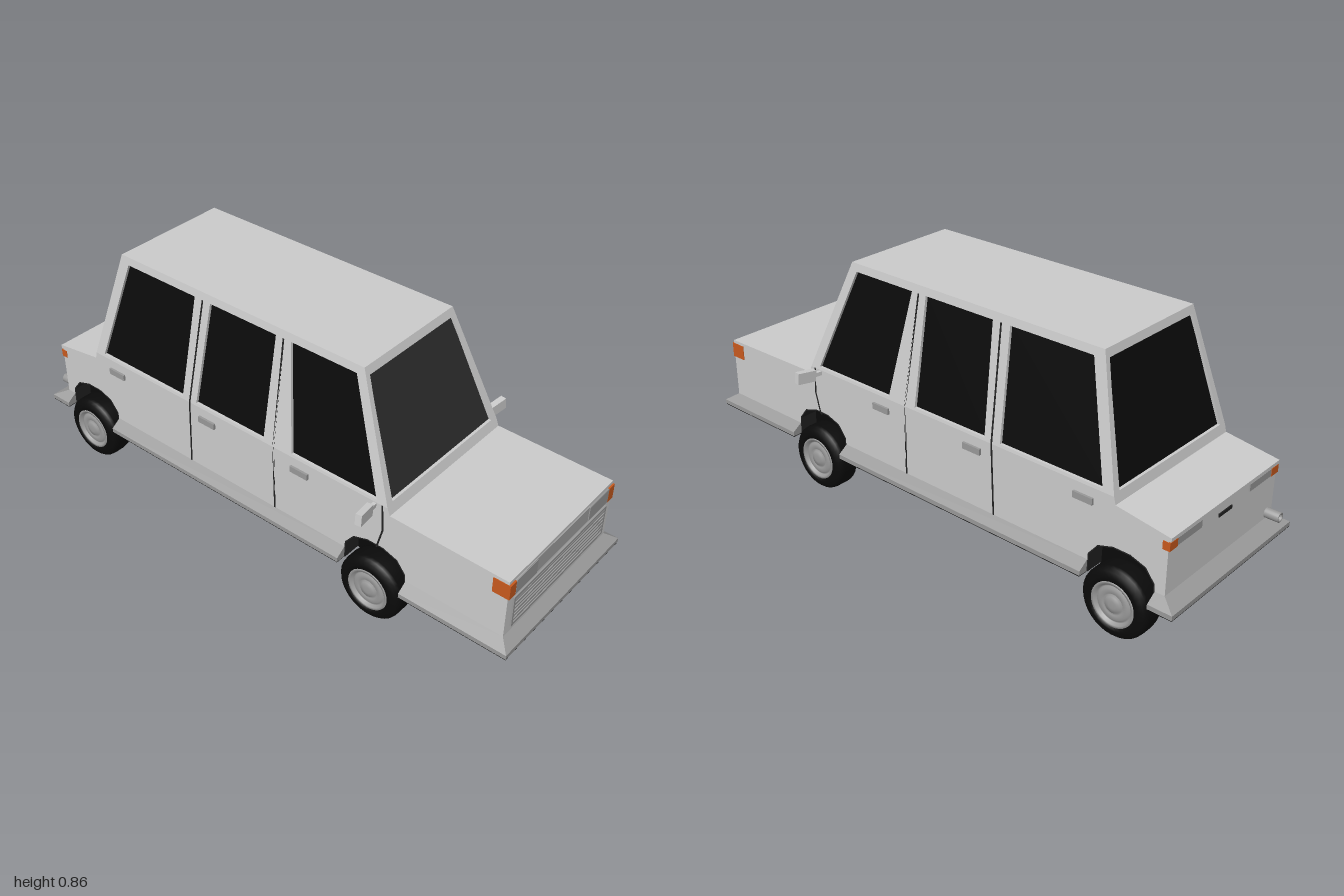
import * as THREE from 'three';

const mat = (color, side = THREE.FrontSide) => new THREE.MeshStandardMaterial({ color, side });
const paint = mat(0xcccccc), trim = mat(0x999999), grey = mat(0x777777), black = mat(0x0a0a0a);
const dark = mat(0x222222), screenGlass = mat(0x2c2c2c), orange = mat(0xc85a1e);

function add(parent, name, geometry, material, x = 0, y = 0, z = 0) {
  const mesh = new THREE.Mesh(geometry, material);
  mesh.name = name;
  mesh.position.set(x, y, z);
  parent.add(mesh);
  return mesh;
}

// Box given by its limits
function block(parent, name, material, x0, x1, y0, y1, z0, z1) {
  return add(parent, name, new THREE.BoxGeometry(x1 - x0, y1 - y0, z1 - z0), material,
    (x0 + x1) / 2, (y0 + y1) / 2, (z0 + z1) / 2);
}

// Tapered box between two rectangles [x0, x1, z0, z1]
function frustum(parent, name, material, y0, bottom, y1, top) {
  const g = new THREE.BoxGeometry(1, 1, 1), p = g.attributes.position;
  for (let i = 0; i < p.count; i++) {
    const r = p.getY(i) > 0 ? top : bottom;
    p.setXYZ(i, r[p.getX(i) > 0 ? 1 : 0], p.getY(i) > 0 ? y1 : y0, r[p.getZ(i) > 0 ? 3 : 2]);
  }
  g.computeVertexNormals();
  return add(parent, name, g, material);
}

const poly = (pts) => new THREE.Shape(pts.map(([u, v]) => new THREE.Vector2(u, v)));

function extrude(pts, holes, depth) {
  const s = poly(pts);
  holes.forEach((h) => s.holes.push(poly(h)));
  return new THREE.ExtrudeGeometry(s, { depth, bevelEnabled: false });
}

function lean(g, rule) {
  const p = g.attributes.position;
  for (let i = 0; i < p.count; i++) rule(p, i, p.getY(i));
  g.computeVertexNormals();
  return g;
}

// Cabin planes as functions of height
const BELT = 0.455, EAVE = 0.835, ROOF = 0.855, W = 0.292;
const sideX = (y) => W - Math.max(0, y - BELT) * 0.18;
const frontZ = (y) => 0.54 - (y - 0.43) * 0.39;
const rearZ = (y) => -0.765 + (y - 0.43) * 0.266;

// Panels drawn in (z, y) or (x, y), then leaned onto the cabin planes
const sidePanel = (pts, holes, depth, inset = 0) => lean(
  extrude(pts, holes, depth).rotateY(-Math.PI / 2),
  (p, i, y) => p.setX(i, p.getX(i) + sideX(y) - inset));
const frontPanel = (pts, holes, depth, inset = 0) => lean(
  extrude(pts, holes, depth),
  (p, i, y) => p.setZ(i, p.getZ(i) - depth + frontZ(y) - inset));
const rearPanel = (pts, holes, depth, inset = 0) => lean(
  extrude(pts, holes, depth).rotateY(Math.PI),
  (p, i, y) => p.setZ(i, p.getZ(i) + depth + rearZ(y) + inset));

const AXLES = [0.49, -0.795];
const archPoints = (cz, k = 1) => [[0.12, 0.165], [0.118, 0.23], [0.085, 0.272], [0.03, 0.29],
  [-0.03, 0.29], [-0.085, 0.272], [-0.118, 0.23], [-0.12, 0.165]]
  .map(([z, y]) => [cz + z * k, 0.165 + (y - 0.165) * k]);

function makeWheel() {
  const wheel = new THREE.Group();
  wheel.name = 'wheel';
  const spin = (pts) => new THREE.LatheGeometry(
    pts.map(([r, h]) => new THREE.Vector2(r, h)), 32).rotateZ(-Math.PI / 2);
  add(wheel, 'tyre', spin([[0, -0.045], [0.09, -0.045], [0.108, -0.041], [0.116, -0.032], [0.118, -0.02],
    [0.118, 0.02], [0.116, 0.032], [0.108, 0.041], [0.09, 0.045], [0.076, 0.044], [0.07, 0.03], [0, 0.03]]), black);
  add(wheel, 'rim', spin([[0.077, 0.04], [0.076, 0.046], [0.068, 0.046], [0.063, 0.036], [0.058, 0.036],
    [0.052, 0.042], [0.036, 0.042], [0.031, 0.036], [0.027, 0.045], [0.012, 0.047], [0, 0.047]]), trim);
  return wheel;
}

// Everything that appears on both flanks, built for +x
function makeSide() {
  const side = new THREE.Group();
  side.name = 'side';
  const windows = [
    [[0.487, 0.465], [0.15, 0.465], [0.096, 0.828], [0.35, 0.828]],
    [[0.032, 0.465], [-0.267, 0.465], [-0.242, 0.828], [0.036, 0.828]],
    [[-0.33, 0.465], [-0.716, 0.465], [-0.618, 0.828], [-0.31, 0.828]],
  ];
  const outline = [[frontZ(BELT), BELT], [frontZ(EAVE), EAVE], [rearZ(EAVE), EAVE], [rearZ(BELT), BELT]];
  add(side, 'windowFrame', sidePanel(outline, windows, 0.018), paint);
  windows.forEach((w) => add(side, 'sideWindow', sidePanel(w, [], 0.004, 0.01), black));

  // Door gaps
  const gaps = [
    [[0.073, 0.2], [0.072, BELT], [0.064, 0.828]],
    [[-0.31, 0.2], [-0.3, BELT], [-0.278, 0.828]],
    [[0.492, 0.28], [0.513, 0.36], [0.508, BELT]],
  ];
  for (const g of gaps) {
    const edge = g.map(([z, y]) => [z + 0.006, y]).reverse();
    add(side, 'doorGap', sidePanel([...g, ...edge], [], 0.004, -0.001), dark);
  }
  for (const z of [0.185, -0.218, -0.652]) block(side, 'doorHandle', trim, W - 0.01, 0.3, 0.4, 0.422, z - 0.036, z + 0.036);

  // Wheels and arch liners
  for (const cz of AXLES) {
    const ring = [...archPoints(cz), ...archPoints(cz, 0.97).reverse()];
    add(side, 'archLiner', extrude(ring, [], 0.075).rotateY(-Math.PI / 2), dark, W + 0.001);
    const wheel = makeWheel();
    wheel.position.set(0.28, 0.118, cz);
    side.add(wheel);
  }

  // Door mirror
  const stalk = add(side, 'mirrorStalk', new THREE.BoxGeometry(0.05, 0.014, 0.012), paint, 0.31, 0.445, 0.485);
  stalk.rotation.y = -0.15;
  const mirror = add(side, 'mirror', new THREE.BoxGeometry(0.07, 0.04, 0.022), paint, 0.353, 0.449, 0.49);
  mirror.rotation.set(0, -0.15, 0.1);

  // Lamps
  block(side, 'frontIndicator', orange, 0.262, W + 0.002, 0.359, 0.413, 0.91, 0.969);
  block(side, 'headlight', trim, 0.147, 0.261, 0.36, 0.412, 0.95, 0.969);
  block(side, 'rearIndicator', orange, 0.255, W + 0.002, 0.358, 0.386, -0.955, -0.93);
  block(side, 'tailLight', trim, 0.13, 0.254, 0.36, 0.385, -0.954, -0.93);
  return side;
}

export function createModel() {
  const car = new THREE.Group();
  car.name = 'car';

  // Lower body with wheel arches cut out
  const profile = [[0.963, 0.19], [0.963, 0.424], [0.54, 0.43], [frontZ(BELT), BELT], [rearZ(BELT), BELT],
    [-0.765, 0.43], [-0.957, 0.402], [-0.957, 0.39], [-0.949, 0.388], [-0.949, 0.19],
    ...archPoints(AXLES[1]).reverse(), ...archPoints(AXLES[0]).reverse()];
  add(car, 'body', extrude(profile, [], 2 * W).rotateY(-Math.PI / 2), paint, W);

  // Sills and bumpers, chamfered along the top
  const S = 0.328;
  const skirts = [['frontBumper', 0.61, 1, 0.61, 0.963], ['sill', -0.675, 0.37, -0.675, 0.37],
    ['rearBumper', -1, -0.915, -0.949, -0.915]];
  for (const [name, z0, z1, t0, t1] of skirts) {
    block(car, name, trim, -S, S, 0.165, 0.181, z0, z1);
    frustum(car, name + 'Chamfer', trim, 0.181, [-S, S, z0, z1], 0.206, [-W, W, t0, t1]);
    block(car, 'floor', black, -S + 0.001, S - 0.001, 0.162, 0.166, z0 + 0.001, z1 - 0.001);
  }
  block(car, 'underbody', black, -0.225, 0.225, 0.162, 0.3, -0.93, 0.93);

  // Roof, windscreen and rear window
  const eave = sideX(EAVE), top = sideX(ROOF);
  frustum(car, 'roof', paint, EAVE, [-eave, eave, rearZ(EAVE), frontZ(EAVE)],
    ROOF, [-top, top, rearZ(ROOF), frontZ(ROOF)]);
  const frame = [[-W, BELT], [W, BELT], [eave, EAVE], [-eave, EAVE]];
  const pane = [[-0.264, 0.463], [0.264, 0.463], [0.209, 0.828], [-0.209, 0.828]];
  add(car, 'windscreenFrame', frontPanel(frame, [pane], 0.018), paint);
  add(car, 'windscreen', frontPanel(pane, [], 0.004, 0.01), screenGlass);
  add(car, 'rearWindowFrame', rearPanel(frame, [pane], 0.018), paint);
  add(car, 'rearWindow', rearPanel(pane, [], 0.004, 0.01), black);

  // Nose: lamp band and slatted grille
  block(car, 'lampBand', mat(0xa6a6a6), -0.262, 0.262, 0.358, 0.413, 0.95, 0.966);
  block(car, 'grilleBack', grey, -0.262, 0.262, 0.23, 0.344, 0.95, 0.965);
  for (const y of [0.234, 0.34]) block(car, 'grilleRail', trim, -0.262, 0.262, y - 0.005, y + 0.005, 0.95, 0.969);
  for (const x of [-0.259, 0.259]) block(car, 'grillePost', trim, x - 0.004, x + 0.004, 0.23, 0.344, 0.95, 0.969);
  for (let i = 0; i < 6; i++) {
    const y = 0.251 + i * 0.0155;
    block(car, 'grilleSlat', trim, -0.255, 0.255, y - 0.004, y + 0.004, 0.95, 0.969);
    block(car, 'grilleGap', dark, -0.255, 0.255, y - 0.007, y - 0.004, 0.95, 0.966);
  }

  // Tail: boot handle and exhaust
  block(car, 'bootHandle', dark, -0.035, 0.035, 0.347, 0.358, -0.953, -0.94);
  const pipe = [[0.011, -0.02], [0.011, 0.03], [0.017, 0.03], [0.017, -0.03]].map(([r, h]) => new THREE.Vector2(r, h));
  add(car, 'exhaust', new THREE.LatheGeometry(pipe, 20).rotateX(-Math.PI / 2),
    mat(0x999999, THREE.DoubleSide), -0.262, 0.225, -0.968);

  // Both flanks
  const left = makeSide(), right = makeSide();
  left.name = 'leftSide';
  right.name = 'rightSide';
  right.scale.x = -1;
  car.add(left, right);
  return car;
}
